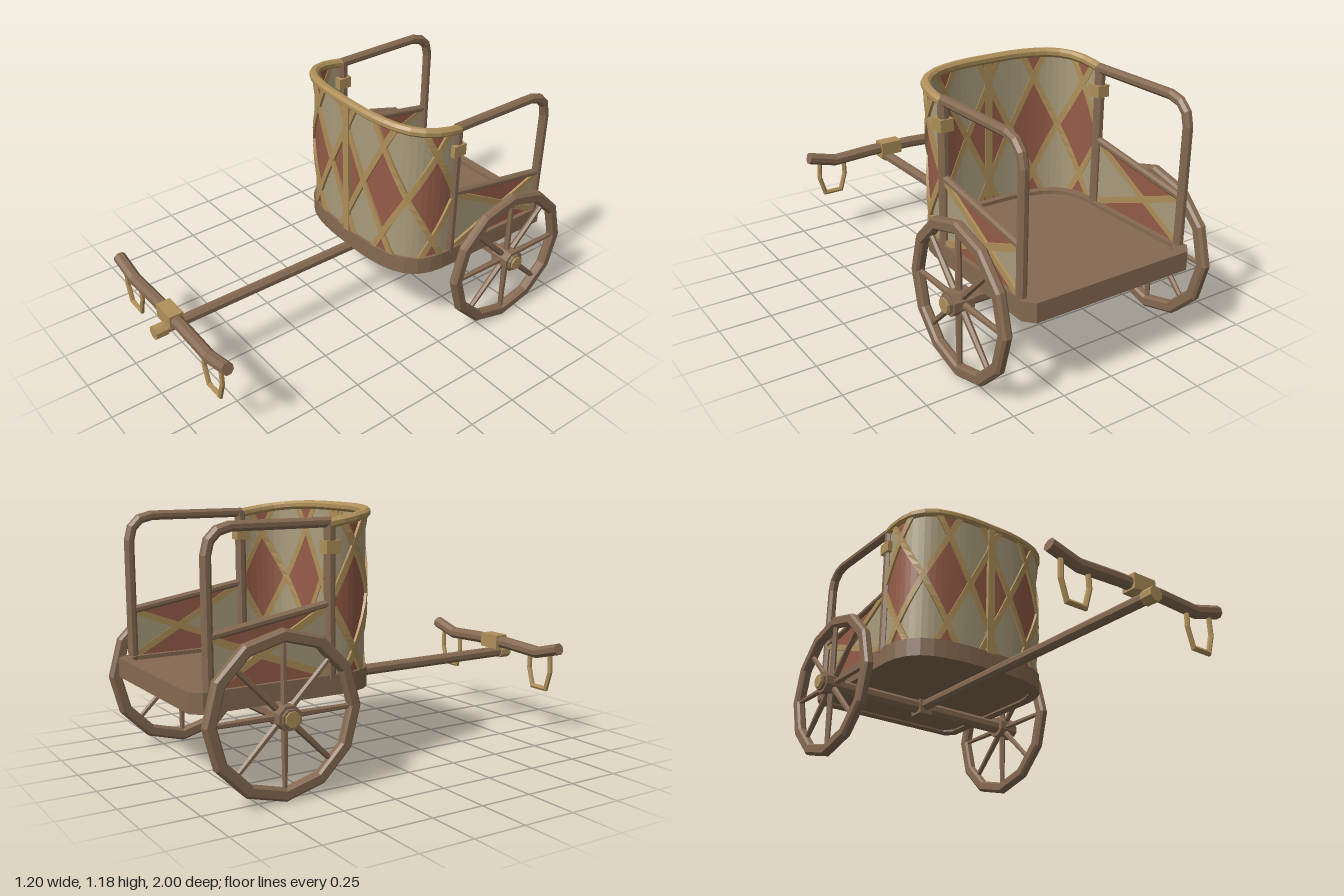
import * as THREE from 'three';

const V = (x, y, z) => new THREE.Vector3(x, y, z);
const material = (name, color, side = THREE.FrontSide) => {
  const m = new THREE.MeshStandardMaterial({ color, side });
  m.name = name;
  return m;
};

// Faceted normals
function faceted(geo) {
  const g = geo.index ? geo.toNonIndexed() : geo;
  g.computeVertexNormals();
  return g;
}

function fromTriangles(tris) {
  return faceted(new THREE.BufferGeometry().setFromPoints(tris));
}

// Solid skinned over a list of convex rings, capped at both ends
function loft(rings) {
  const tris = [], n = rings[0].length;
  for (let i = 0; i < rings.length - 1; i++) {
    for (let j = 0; j < n; j++) {
      const k = (j + 1) % n, a = rings[i], b = rings[i + 1];
      tris.push(a[j], a[k], b[k], a[j], b[k], b[j]);
    }
  }
  const s = rings[0], e = rings[rings.length - 1];
  for (let j = 1; j < n - 1; j++) tris.push(s[0], s[j + 1], s[j], e[0], e[j], e[j + 1]);
  let volume = 0;
  for (let i = 0; i < tris.length; i += 3) volume += tris[i].dot(tris[i + 1].clone().cross(tris[i + 2]));
  if (volume < 0) tris.reverse();
  return fromTriangles(tris);
}

// Mitred bar along a planar path; up is the normal of its plane
function bar(pts, r, up, sides = 8) {
  return loft(pts.map((p, i) => {
    const a = p.clone().sub(pts[Math.max(i - 1, 0)]).normalize();
    const b = pts[Math.min(i + 1, pts.length - 1)].clone().sub(p).normalize();
    const t = a.clone().add(b).normalize();
    const mitre = 1 / Math.max(0.5, Math.max(t.dot(a), t.dot(b)));
    const side = up.clone().cross(t).normalize();
    return Array.from({ length: sides }, (_, j) => {
      const q = (j + 0.5) / sides * Math.PI * 2;
      return p.clone().addScaledVector(side, Math.cos(q) * r * mitre).addScaledVector(up, Math.sin(q) * r);
    });
  }));
}

// Plan of the curved front, from one side post around to the other
const half = [[0.42, -0.36], [0.415, -0.26], [0.38, -0.175], [0.31, -0.12], [0.17, -0.086]];
const plan = new THREE.CatmullRomCurve3([
  ...half.map(([x, z]) => V(-x, 0, z)), V(0, 0, -0.08), ...half.reverse().map(([x, z]) => V(x, 0, z)),
]);

// Point on the front wall: u from -2.5 to 2.5 around, v from 0 to 1 upward
function wall(u, v, out = 0) {
  const s = THREE.MathUtils.clamp((u + 2.5) / 5, 0, 1);
  const p = plan.getPointAt(s), t = plan.getTangentAt(s);
  const forward = (p.z + 0.36) / 0.28;
  const top = 1.115 + 0.045 * forward;
  const o = out + 0.01 * v * forward;
  return V(p.x - t.z * o, 0.47 + (top - 0.47) * v, p.z + t.x * o);
}

export function createModel() {
  const model = new THREE.Group();
  model.name = 'chariot';
  const wood = material('brown wood', 0x866a52);
  const gold = material('gold trim', 0xb0905a);
  const cream = material('cream hide', 0xaa9c7c, THREE.DoubleSide);
  const red = material('red hide', 0x965c48, THREE.DoubleSide);
  const X = V(1, 0, 0), Y = V(0, 1, 0), Z = V(0, 0, 1);

  const add = (name, geo, mat, parent = model) => {
    const mesh = new THREE.Mesh(geo, mat);
    mesh.name = name;
    parent.add(mesh);
    return mesh;
  };
  const box = (name, w, h, d, x, y, z, mat) =>
    add(name, new THREE.BoxGeometry(w, h, d).translate(x, y, z), mat);

  // Platform: frame around a slightly sunken floor
  const outline = [];
  for (let i = 0; i <= 20; i++) {
    const p = wall(-2.5 + i / 4, 0, 0.014);
    outline.push([p.x, p.z]);
  }
  outline.push([0.435, -0.95], [0.395, -0.995], [-0.395, -0.995], [-0.435, -0.95]);
  const inner = outline.map(([x, z]) => [x * 0.89, -0.53 + (z + 0.53) * 0.9]);
  const toPoints = list => list.map(([x, z]) => new THREE.Vector2(x, -z));
  const slab = (shape, y, depth) => faceted(
    new THREE.ExtrudeGeometry(shape, { depth, bevelEnabled: false }).rotateX(-Math.PI / 2).translate(0, y, 0));
  const frame = new THREE.Shape(toPoints(outline));
  frame.holes.push(new THREE.Path(toPoints(inner)));
  add('platformFrame', slab(frame, 0.39, 0.088), wood);
  add('floor', slab(new THREE.Shape(toPoints(inner)), 0.4, 0.06), wood);

  // Front wall: red and cream diamonds, cut into bands column by column
  const mid = 0.49, rise = 0.34, skins = [[], []];
  const breaks = u => {
    const t = 2 * Math.abs(u - Math.round(u));
    return [0, mid - rise * (1 + t), mid - rise * (1 - t), mid + rise * (1 - t), mid + rise * (1 + t), 1]
      .map(v => THREE.MathUtils.clamp(v, 0, 1));
  };
  for (let i = 0; i < 40; i++) {
    const u0 = -2.5 + i / 8, u1 = u0 + 1 / 8, b0 = breaks(u0), b1 = breaks(u1);
    for (let k = 0; k < 5; k++) {
      const a = wall(u0, b0[k]), b = wall(u1, b1[k]), c = wall(u1, b1[k + 1]), d = wall(u0, b0[k + 1]);
      if (b1[k + 1] - b1[k] > 1e-6) skins[k % 2].push(a, b, c);
      if (b0[k + 1] - b0[k] > 1e-6) skins[k % 2].push(a, c, d);
    }
  }
  add('frontWallRed', fromTriangles(skins[0]), red);
  add('frontWallCream', fromTriangles(skins[1]), cream);

  // Crossing lattice strips and the centre strip
  const strip = (u, v, w, out) => [
    wall(u - w, v, -0.003), wall(u + w, v, -0.003), wall(u + w, v, out), wall(u - w, v, out)];
  for (let k = -2.5; k <= 2.5; k++) {
    for (const slope of [-2 * rise, 2 * rise]) {
      const ends = [0, 1].map(v => THREE.MathUtils.clamp(k + (v - mid) / slope, -2.45, 2.45));
      const rings = [];
      for (let i = 0; i <= 12; i++) {
        const u = THREE.MathUtils.lerp(ends[0], ends[1], i / 12);
        rings.push(strip(u, mid + (u - k) * slope, 0.065, 0.012));
      }
      add('latticeStrip', loft(rings), gold);
    }
  }
  add('centreStrip', loft([strip(0, 0, 0.085, 0.017), strip(0, 1, 0.085, 0.017)]), gold);

  // Gold rail capping the front wall
  const rim = [];
  for (let i = 0; i <= 20; i++) rim.push(wall(-2.5 + i / 4, 1));
  add('topRail', bar(rim, 0.022, Y), gold);

  // Sides: post, handrail, clamp and low panel
  for (const s of [-1, 1]) {
    const x = 0.414 * s, at = (z, y, dx = 0) => V(x + dx * s, y, z);
    add('frontPost', bar([at(-0.357, 0.46), at(-0.357, 1.125)], 0.025, X), wood);
    add('handrail', bar([at(-0.35, 1.12), at(-0.81, 1.12), at(-0.865, 1.105), at(-0.902, 1.068),
      at(-0.917, 1.01), at(-0.917, 0.46)], 0.023, X), wood);
    box('postClamp', 0.062, 0.055, 0.07, x, 1.018, -0.352, gold);
    const f0 = at(-0.365, 0.475), f1 = at(-0.365, 0.775), b0 = at(-0.912, 0.475), b1 = at(-0.912, 0.685);
    const c = f0.clone().lerp(b1, 0.588);
    add('sidePanelRed', fromTriangles([f0, c, b0, f1, b1, c]), red);
    add('sidePanelCream', fromTriangles([f0, f1, c, b0, c, b1]), cream);
    add('sidePanelRail', bar([at(-0.36, 0.782), at(-0.915, 0.69)], 0.018, X), wood);
    for (const [p, q] of [[f0, b1], [f1, b0]]) {
      const w = q.clone().sub(p).cross(X).setLength(0.015);
      add('sideStrip', loft([p, q].map(e => [[-1, -0.003], [1, -0.003], [1, 0.012], [-1, 0.012]]
        .map(([k, o]) => e.clone().addScaledVector(w, k).addScaledVector(X, o * s)))), gold);
    }
  }

  // Axle and wheels
  const axleY = 0.3625, axleZ = -0.64;
  const across = (x0, x1, r) => bar([V(x0, 0, 0), V(x1, 0, 0)], r, Y);
  add('axle', across(-0.49, 0.49, 0.034), wood).position.set(0, axleY, axleZ);
  const rimProfile = [[0.302, -0.012], [0.311, -0.023], [0.346, -0.023], [0.3575, -0.012],
    [0.3575, 0.012], [0.346, 0.023], [0.311, 0.023], [0.302, 0.012], [0.302, -0.012]]
    .map(([r, y]) => new THREE.Vector2(r, y));
  for (const s of [-1, 1]) {
    const wheel = new THREE.Group();
    wheel.name = s > 0 ? 'leftWheel' : 'rightWheel';
    wheel.position.set(0.525 * s, axleY, axleZ);
    model.add(wheel);
    add('wheelRim', faceted(new THREE.LatheGeometry(rimProfile, 12).rotateZ(Math.PI / 2)), wood, wheel);
    for (let i = 0; i < 8; i++) {
      const spoke = new THREE.CylinderGeometry(0.012, 0.016, 0.28, 6).translate(0, 0.175, 0);
      add('spoke', faceted(spoke.rotateX(i * Math.PI / 4)), wood, wheel);
    }
    add('hub', across(-0.045 * s, 0.052 * s, 0.055), wood, wheel);
    add('hubCollar', across(0.05 * s, 0.066 * s, 0.042), wood, wheel);
    add('hubCap', across(0.06 * s, 0.075 * s, 0.034), gold, wheel);
  }

  // Draught pole
  add('pole', bar([V(0, 0.367, -0.68), V(0, 0.367, 0.95)], 0.027, Y), wood);
  add('poleTip', bar([V(0, 0.367, 0.94), V(0, 0.367, 1)], 0.034, Y), gold);
  box('poleBlock', 0.07, 0.075, 0.08, 0, 0.357, axleZ, wood);

  // Yoke with its binding and hanging loops
  const yokeZ = 0.91;
  add('yoke', bar([[-0.478, 0.46], [-0.33, 0.42], [-0.12, 0.43], [0.12, 0.43], [0.33, 0.42], [0.478, 0.46]]
    .map(([x, y]) => V(x, y, yokeZ)), 0.03, Z), wood);
  box('yokeBinding', 0.12, 0.07, 0.07, 0, 0.43, yokeZ, gold);
  for (const s of [-1, 1]) {
    add('yokeLoop', bar([[-0.07, 0.42], [-0.073, 0.335], [-0.046, 0.246], [0.046, 0.246], [0.073, 0.335], [0.07, 0.42]]
      .map(([x, y]) => V(0.35 * s + x, y, yokeZ)), 0.012, Z, 6), gold);
  }
  return model;
}
